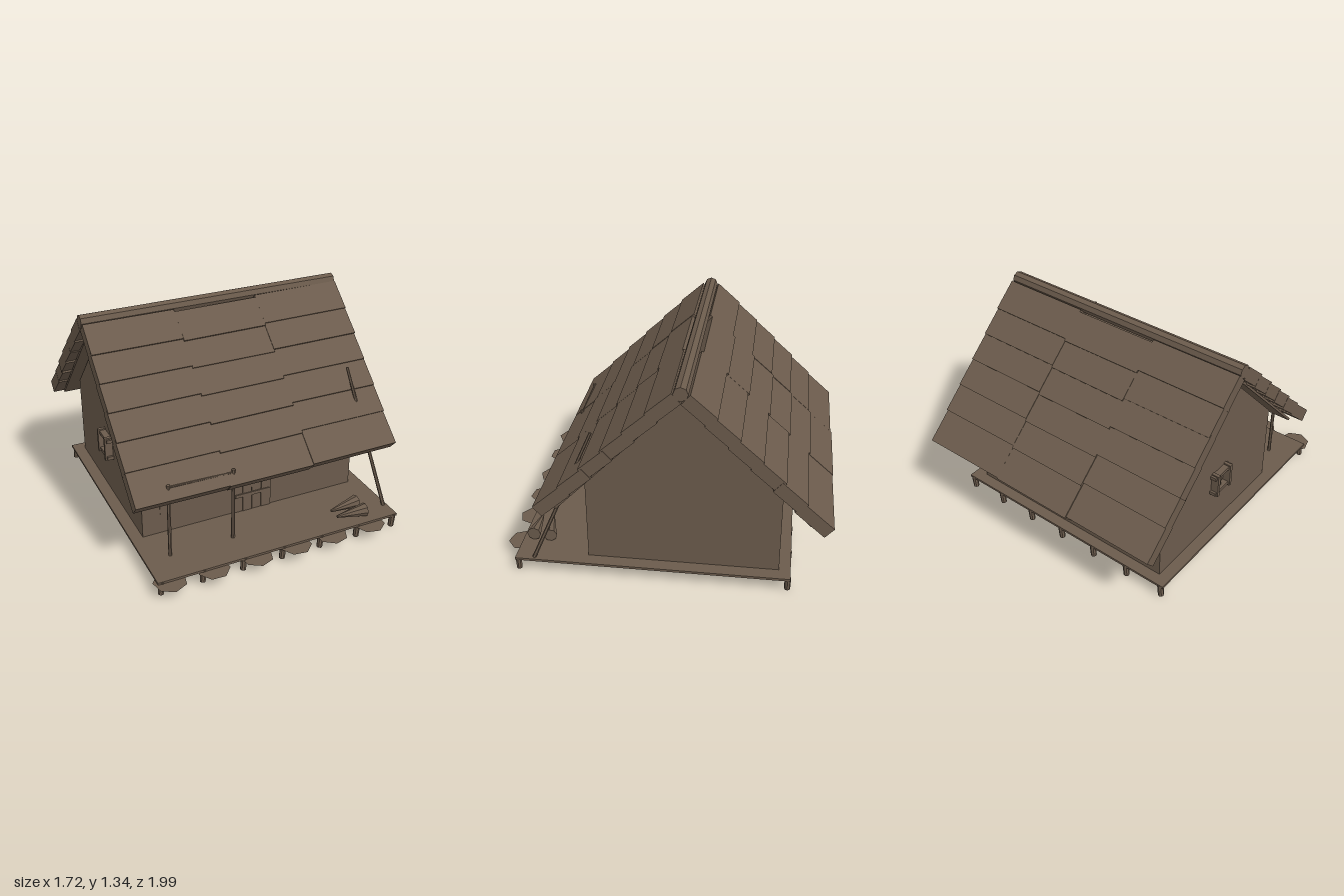
import * as THREE from 'three';

const wood = new THREE.MeshStandardMaterial({ color: 0x6b5b4c, flatShading: true });
wood.name = 'weatheredWood';

const RIDGE_Z = -0.123;
const FLOOR_Y = 0.09;

export function createModel() {
  const model = new THREE.Group();
  model.name = 'thatchedHut';

  // Small seeded generator for hand-built irregularity
  let seed = 7;
  const jitter = (amount) => {
    seed = (seed * 16807) % 2147483647;
    return (seed / 2147483647 - 0.5) * 2 * amount;
  };

  const add = (name, geometry, x = 0, y = 0, z = 0, parent = model) => {
    const mesh = new THREE.Mesh(geometry, wood);
    mesh.name = name;
    mesh.position.set(x, y, z);
    parent.add(mesh);
    return mesh;
  };
  const box = (name, w, h, d, x, y, z, parent) =>
    add(name, new THREE.BoxGeometry(w, h, d), x, y, z, parent);

  // Round pole between two points
  const pole = (name, a, b, rA, rB = rA, sides = 6) => {
    const from = new THREE.Vector3(...a), to = new THREE.Vector3(...b);
    const dir = to.clone().sub(from);
    const mesh = add(name, new THREE.CylinderGeometry(rB, rA, dir.length(), sides));
    mesh.position.copy(from).add(to).multiplyScalar(0.5);
    mesh.quaternion.setFromUnitVectors(new THREE.Vector3(0, 1, 0), dir.normalize());
    return mesh;
  };

  // Raised floor and its stilts
  box('floor', 1.61, 0.015, 1.67, 0, 0.0825, 0.065);
  for (const z of [0.885, -0.755]) {
    for (let i = -3; i <= 3; i++) {
      const x = i * 0.26;
      pole('stilt', [x - 0.004, 0, z], [x + 0.002, 0.085, z], 0.018, 0.02, 8);
    }
  }

  // Flat stepping stones tucked under the front edge
  [-0.73, -0.46, -0.18, 0.08, 0.33, 0.6].forEach((x, i) => {
    const stone = add('steppingStone', new THREE.CylinderGeometry(0.1, 0.085, 0.006, 7), x, 0.073, 0.895);
    stone.rotation.y = i * 1.3;
  });

  // House body: gabled outline extruded along x
  const gable = new THREE.Shape([
    [-0.46, 0.085], [0.7, 0.085], [0.7, 0.62], [-RIDGE_Z, 1.225], [-0.46, 0.62],
  ].map(([u, v]) => new THREE.Vector2(u, v)));
  const body = add('walls',
    new THREE.ExtrudeGeometry(gable, { depth: 1.45, bevelEnabled: false }), -0.73, 0, 0);
  body.rotation.y = Math.PI / 2;

  // Roof slopes: overlapping thatch rows in three columns over a thin lining
  const columns = [[-0.86, -0.28, 0], [-0.28, 0.27, 0.014], [0.27, 0.86, -0.004]];
  const slope = 0.78;
  const place = (mesh, along, out) => {
    mesh.position.y = 1.3 - along * Math.sin(slope) + out * Math.cos(slope);
    mesh.position.z = 0.06 + along * Math.cos(slope) + out * Math.sin(slope);
  };
  for (const side of ['front', 'back']) {
    const roof = new THREE.Group();
    roof.name = side + 'Roof';
    roof.position.z = RIDGE_Z;
    roof.rotation.y = side === 'front' ? 0 : Math.PI;
    model.add(roof);
    for (const [x0, x1, drop] of columns) {
      for (let row = 0; row < 6; row++) {
        const length = row === 5 ? 0.235 : 0.2;
        const thatch = box('thatchRow', x1 - x0 + jitter(0.004), 0.08, length, (x0 + x1) / 2, 0, 0, roof);
        place(thatch, row * 0.18 + length / 2 + (row === 5 ? drop * 0.4 : drop), -0.04 + jitter(0.002));
        thatch.rotation.set(-0.055 + slope, 0, 0);
        thatch.rotateY(jitter(0.006));
      }
    }
    const lining = box('roofLining', 1.6, 0.015, 1.07, 0, 0.86, 0.375, roof);
    lining.rotation.x = 0.8;
  }
  pole('ridgeLog', [-0.86, 1.297, RIDGE_Z], [0.86, 1.297, RIDGE_Z], 0.043, 0.043, 8);

  // Porch posts, rail and leaning pole
  for (const x of [-0.645, -0.237]) {
    pole('porchPost', [x, FLOOR_Y, 0.69], [x, 0.575, 0.69], 0.011);
  }
  pole('porchRail', [-0.655, 0.563, 0.69], [-0.225, 0.553, 0.69], 0.006);
  pole('leaningPole', [0.78, FLOOR_Y, 0.785], [0.676, 0.925, 0.42], 0.012, 0.009);

  // Plank door with cross bars and latch
  const door = new THREE.Group();
  door.name = 'door';
  model.add(door);
  for (let i = 0; i < 4; i++) {
    box('doorPlank', 0.06, 0.48, 0.008, -0.095 + i * 0.064, 0.33, 0.462 + (i % 2) * 0.002, door);
  }
  for (const y of [0.21, 0.5]) box('doorBar', 0.235, 0.022, 0.012, 0.003, y, 0.468, door);
  box('doorLatch', 0.018, 0.018, 0.014, -0.092, 0.382, 0.469, door);
  box('doorJamb', 0.01, 0.5, 0.01, 0.128, 0.34, 0.463, door);
  box('doorLintel', 0.3, 0.03, 0.015, 0, 0.615, 0.463, door);

  // Flat shutter panel on the front wall
  box('frontPanel', 0.35, 0.34, 0.008, -0.44, 0.395, 0.462);

  // Small charm hanging under the eave
  const charm = add('hangingCharm', new THREE.ConeGeometry(0.012, 0.06, 6), 0.25, 0.52, 0.51);
  charm.rotation.x = Math.PI;

  // Side window: crossed frame bars
  const sideWindow = new THREE.Group();
  sideWindow.name = 'sideWindow';
  sideWindow.position.set(-0.757, 0.445, -0.11);
  model.add(sideWindow);
  for (const s of [-1, 1]) {
    box('windowUpright', 0.05, 0.16, 0.022, 0, 0, s * 0.065, sideWindow);
    box('windowCrossbar', 0.04, 0.022, 0.18, 0.005, s * 0.06, 0, sideWindow);
  }
  box('windowMullion', 0.02, 0.13, 0.01, 0.015, 0, 0, sideWindow);

  // Two tapered bundles lying on the porch
  pole('taperedBundle', [0.61, 0.135, 0.83], [0.41, 0.135, 0.825], 0.043, 0.008, 8);
  pole('taperedBundle', [0.61, 0.133, 0.725], [0.41, 0.133, 0.755], 0.041, 0.008, 8);

  return model;
}
